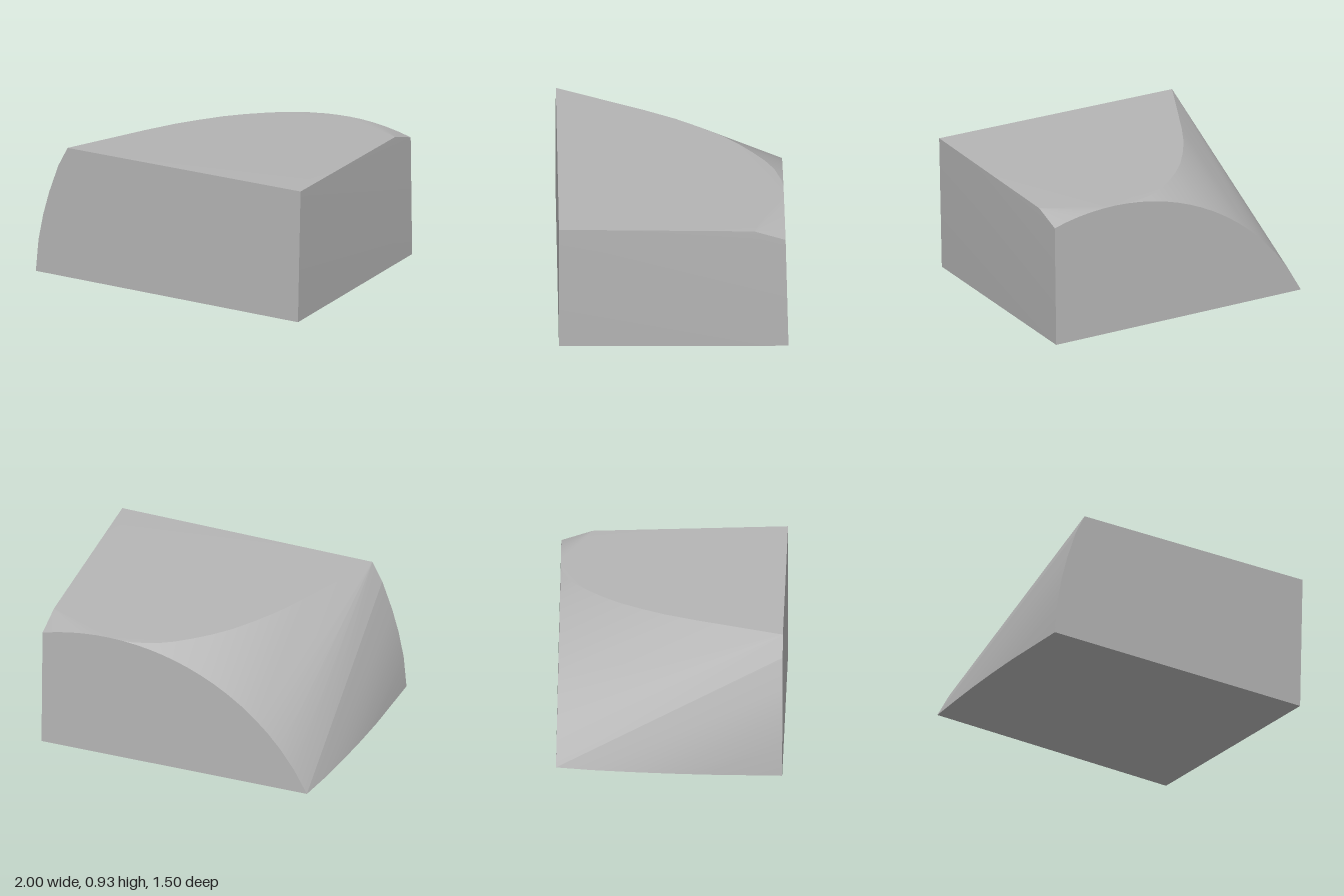
import * as THREE from 'three';
import { ConvexGeometry } from 'three/addons/geometries/ConvexGeometry.js';
import { toCreasedNormals } from 'three/addons/utils/BufferGeometryUtils.js';

const stone = new THREE.MeshStandardMaterial({ color: 0xb4b4b4 });
stone.name = 'stone grey';

// Slightly tilted planes of the cut block
const topY = (x, z) => 0.93 - 0.0267 * (0.75 - z) - 0.011 * (1 - x);
const backZ = (x, y) => -0.745 - 0.0108 * x + 0.0238 * y;
const bottomY = (x, z) => 0.006 + 0.003 * x + 0.005 * z;

export function createModel() {
  const group = new THREE.Group();
  group.name = 'stoneBlock';
  const points = [];
  const add = (x, y, z) => points.push(new THREE.Vector3(x, y, z));

  // Front face: straight right edge, bowed left edge
  add(0.98, bottomY(0.98, 0.75), 0.75);
  add(1, topY(1, 0.75), 0.75);
  for (const [x, y] of [[-1, 0.007], [-0.98, 0.23], [-0.945, 0.41], [-0.9, 0.575], [-0.83, 0.775], [-0.76, topY(-0.76, 0.75)]]) {
    add(x, y, 0.75);
  }

  // Back face: circular arc falling towards the left side
  const cx = 0.54, cy = -0.69, radius = 1.58, steps = 20;
  for (let i = 0; i <= steps; i++) {
    const x = 0.98 - (1.86 * i) / steps;
    const y = i === steps ? 0.003 : cy + Math.sqrt(radius ** 2 - (x - cx) ** 2);
    add(x, y, backZ(x, y));
  }
  add(0.98, bottomY(0.98, -0.755), -0.755);

  // Curved rim of the flat top, and the chipped back corner
  for (const [x, z] of [[-0.6, 0.4], [-0.5, 0.17], [-0.4, -0.03], [-0.3, -0.19], [-0.2, -0.33], [-0.1, -0.44], [0, -0.53], [0.1, -0.61], [0.2, -0.67], [0.35, -0.72], [0.98, -0.53]]) {
    add(x, topY(x, z), z);
  }

  // Bowed lower left edge
  for (const [x, z] of [[-0.985, 0.25], [-0.968, 0], [-0.945, -0.25], [-0.915, -0.5]]) {
    add(x, bottomY(x, z), z);
  }

  const block = new THREE.Mesh(toCreasedNormals(new ConvexGeometry(points), 0.12), stone);
  block.name = 'block';
  group.add(block);
  return group;
}
